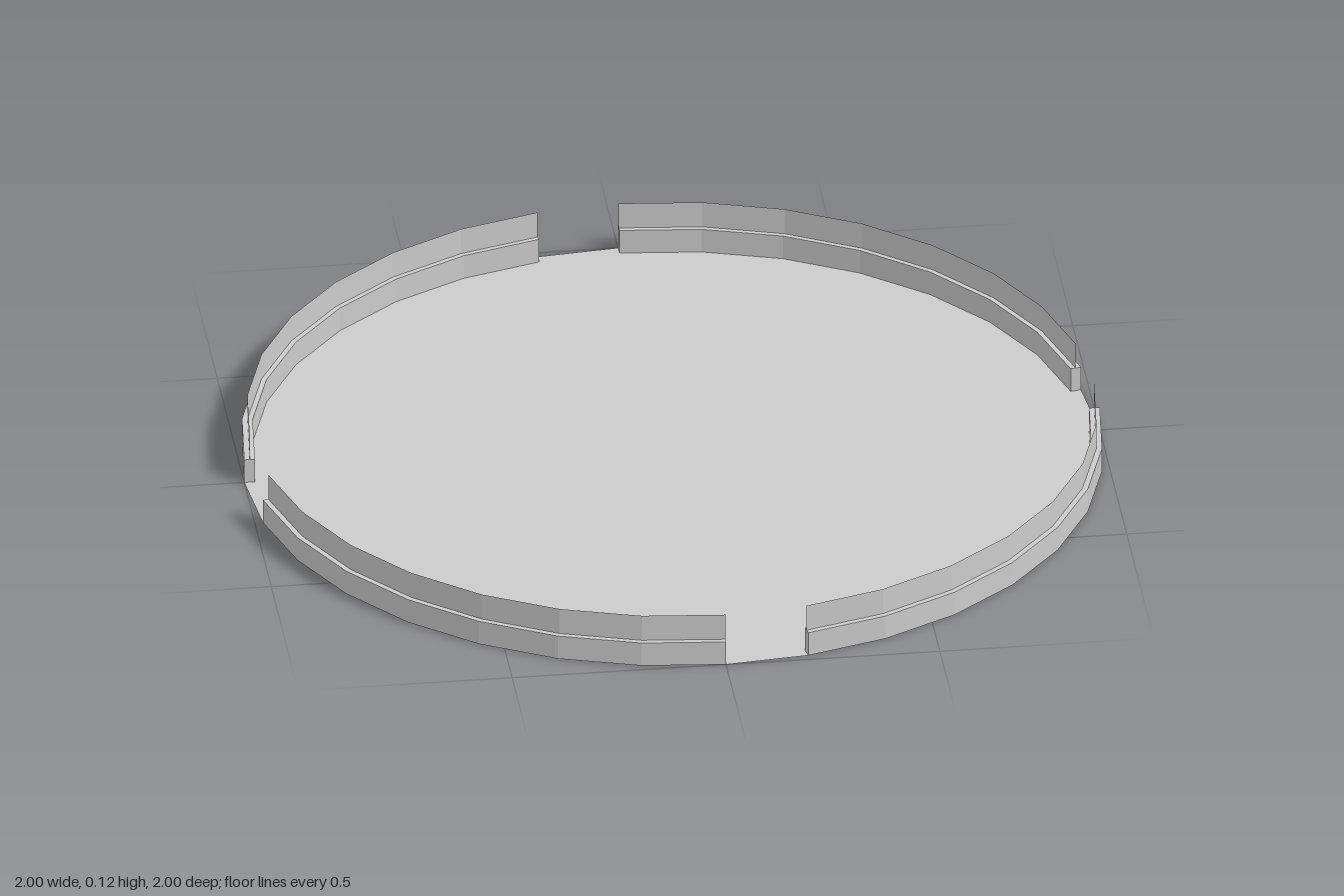
import * as THREE from 'three';

const STEP = Math.PI / 16;          // 32-sided disc
const OUTER = 1, INNER = 0.975, LIP = 0.987;
const LEDGE = 0.06, TOP = 0.125;

const material = new THREE.MeshStandardMaterial({
  color: 0xcccccc, flatShading: true, side: THREE.DoubleSide,
});

function part(name, geometry, parent) {
  const mesh = new THREE.Mesh(geometry, material);
  mesh.name = name;
  parent.add(mesh);
  return mesh;
}

// Sweeps a [radius, height] profile over seven facets of the disc
function arc(profile) {
  const points = profile.map(([r, y]) => new THREE.Vector2(r, y));
  return new THREE.LatheGeometry(points, 7, STEP, 7 * STEP);
}

// Floor reaches the outer edge only in the four gaps between the walls
function floorGeometry() {
  const points = [];
  for (let i = 0; i < 32; i++) {
    const at = (r) => points.push(new THREE.Vector2(r * Math.sin(i * STEP), -r * Math.cos(i * STEP)));
    if (i % 8 === 0) { at(INNER); at(OUTER); }
    else if (i % 8 === 1) { at(OUTER); at(INNER); }
    else at(INNER);
  }
  return new THREE.ShapeGeometry(new THREE.Shape(points)).rotateX(-Math.PI / 2);
}

export function createModel() {
  const model = new THREE.Group();
  model.name = 'tray';
  part('floor', floorGeometry(), model);

  // Four identical wall sections: hollow rim with a thin lip on its ledge
  const rim = arc([[INNER, 0], [INNER, LEDGE], [OUTER, LEDGE], [OUTER, 0]]);
  const lip = arc([[LIP, LEDGE], [LIP, TOP]]);
  const cap = new THREE.PlaneGeometry(OUTER - INNER, LEDGE)
    .translate((OUTER + INNER) / 2, LEDGE / 2, 0);

  for (let i = 0; i < 4; i++) {
    const wall = new THREE.Group();
    wall.name = 'wallSection';
    wall.rotation.y = i * Math.PI / 2;
    part('rim', rim, wall);
    part('lip', lip, wall);
    for (const a of [STEP, 8 * STEP]) {
      part('rimEnd', cap, wall).rotation.y = a - Math.PI / 2;
    }
    model.add(wall);
  }
  return model;
}
